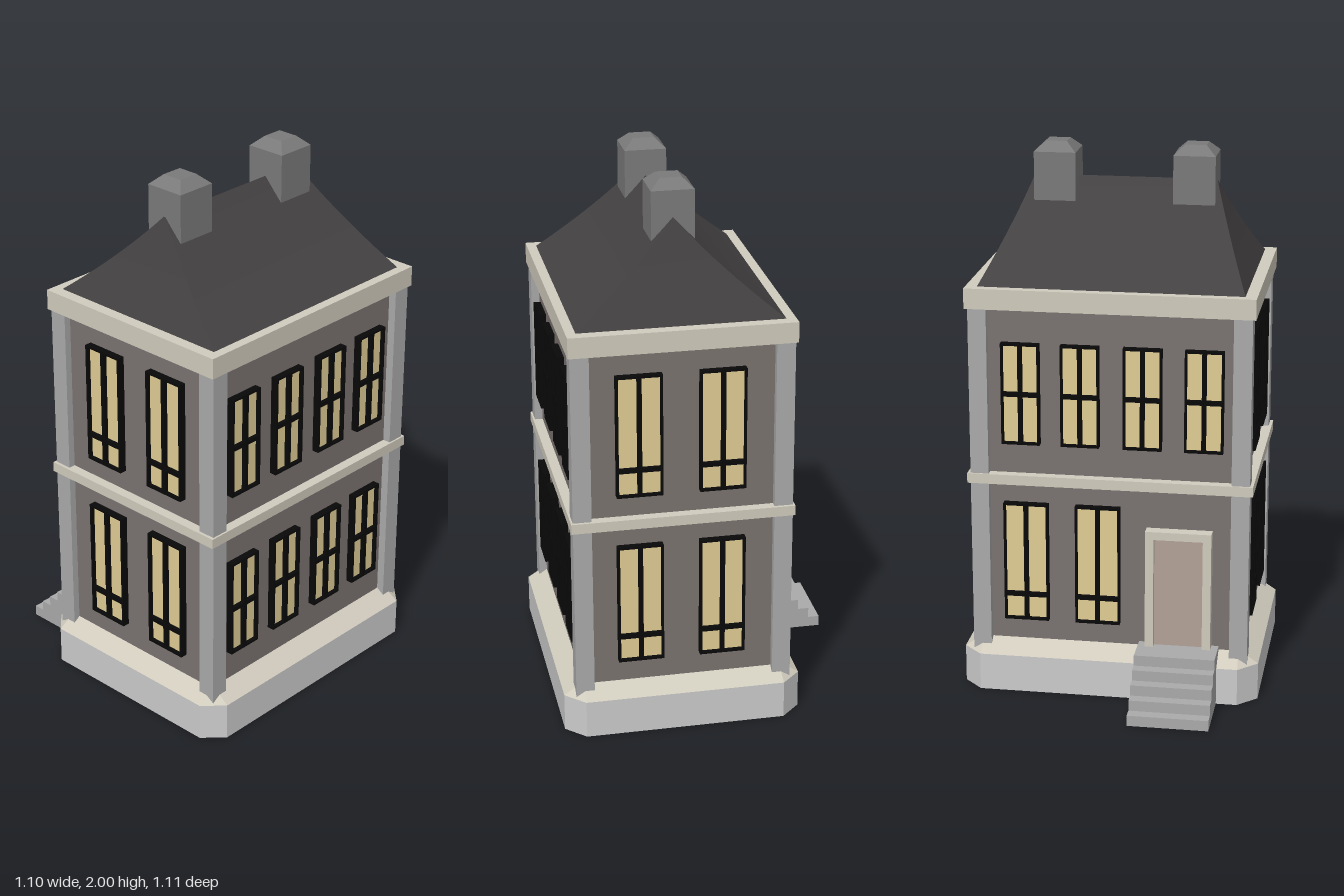
import * as THREE from 'three';
import { toCreasedNormals } from 'three/addons/utils/BufferGeometryUtils.js';

const mat = (color) => new THREE.MeshStandardMaterial({ color });
const M = {
  plinth: mat(0xcccccc), stone: mat(0xd0cbbd), pillar: mat(0xaaaaaa), wall: mat(0x7a7370),
  roof: mat(0x444142), chimney: mat(0x7a7a7a), glass: mat(0xe0cc94), frame: mat(0x080808), door: mat(0xb3a296),
};

function add(parent, name, geometry, material, x = 0, y = 0, z = 0) {
  const mesh = new THREE.Mesh(geometry, material);
  mesh.name = name;
  mesh.position.set(x, y, z);
  parent.add(mesh);
  return mesh;
}

// Box given by its width, bottom, top and depth
function slab(parent, name, material, w, y0, y1, d, x = 0, z = 0) {
  return add(parent, name, new THREE.BoxGeometry(w, y1 - y0, d), material, x, (y0 + y1) / 2, z);
}

// Ring of a rectangle with corners cut by c, ordered for outward faces
function ring(y, hx, hz, c = 0) {
  return [[hx - c, hz], [hx, hz - c], [hx, c - hz], [hx - c, -hz], [c - hx, -hz], [-hx, c - hz], [-hx, hz - c], [c - hx, hz]]
    .map(([x, z]) => new THREE.Vector3(x, y, z));
}

// Skin over rings listed from bottom to top, with flat caps
function loft(rings, bottom = true, top = true) {
  const pos = [];
  const tri = (a, b, c) => {
    const area = b.clone().sub(a).cross(c.clone().sub(a)).length();
    if (area > 1e-8) for (const p of [a, b, c]) pos.push(p.x, p.y, p.z);
  };
  const n = rings[0].length;
  for (let i = 0; i + 1 < rings.length; i++) {
    for (let j = 0; j < n; j++) {
      const k = (j + 1) % n;
      tri(rings[i][j], rings[i][k], rings[i + 1][k]);
      tri(rings[i][j], rings[i + 1][k], rings[i + 1][j]);
    }
  }
  const first = rings[0], last = rings[rings.length - 1];
  for (let j = 1; j + 1 < n; j++) {
    if (bottom) tri(first[0], first[j + 1], first[j]);
    if (top) tri(last[0], last[j], last[j + 1]);
  }
  const g = new THREE.BufferGeometry();
  g.setAttribute('position', new THREE.Float32BufferAttribute(pos, 3));
  g.computeVertexNormals();
  return toCreasedNormals(g, 0.3);
}

function rectPath(Type, x0, y0, x1, y1) {
  return new Type([[x0, y0], [x1, y0], [x1, y1], [x0, y1]].map((p) => new THREE.Vector2(...p)));
}

// Four-pane window facing +z; bar is the height of the crossbar
function makeWindow(w, y0, y1, bar) {
  const g = new THREE.Group();
  g.name = 'window';
  const e = 0.008, b = 0.008, h = w / 2;
  const shape = rectPath(THREE.Shape, -h, y0, h, y1);
  for (const [x0, x1] of [[-h + e, -b], [b, h - e]]) {
    for (const [a, c] of [[y0 + e, bar - b], [bar + b, y1 - e]]) {
      shape.holes.push(rectPath(THREE.Path, x0, a, x1, c));
    }
  }
  add(g, 'windowFrame', new THREE.ExtrudeGeometry(shape, { depth: 0.035, bevelEnabled: false }), M.frame, 0, 0, -0.008);
  slab(g, 'windowGlass', M.glass, w - e, y0 + e / 2, y1 - e / 2, 0.016, 0, 0.004);
  return g;
}

const WX = 0.485, WZ = 0.365; // half width and half depth of the walls

export function createModel() {
  const model = new THREE.Group();
  model.name = 'townHouse';
  const house = new THREE.Group();
  house.name = 'house';
  house.position.z = 0.115;
  model.add(house);

  // Base with cut corners and a sloping top
  const rim = ring(0.14, 0.55, 0.435, 0.07);
  add(house, 'plinth', loft([ring(0, 0.55, 0.435, 0.07), rim], true, false), M.plinth);
  add(house, 'plinthSlope', loft([rim, ring(0.19, 0.475, 0.36)], false, true), M.stone);

  // Walls, corner pillars and stone bands
  slab(house, 'walls', M.wall, WX * 2, 0.15, 1.5, WZ * 2);
  for (const sx of [-1, 1]) for (const sz of [-1, 1]) {
    slab(house, 'cornerPillar', M.pillar, 0.067, 0.13, 1.46, 0.067, sx * 0.4775, sz * 0.3615);
  }
  slab(house, 'middleBand', M.stone, 1.045, 0.8, 0.837, 0.804);
  slab(house, 'cornice', M.stone, 1.045, 1.455, 1.53, 0.804);

  // Hipped roof with a slight inward sweep
  const levels = [];
  for (let i = 0; i <= 10; i++) {
    const t = i / 10, f = t + 0.18 * t * (1 - t);
    levels.push(ring(1.53 + 0.34 * t, 0.48 - 0.145 * f, 0.367 * (1 - f)));
  }
  add(house, 'roof', loft(levels, true, false), M.roof);

  // Chimneys with tapered tops
  for (const x of [-0.26, 0.249]) {
    const s = 0.0765;
    add(house, 'chimney', loft([ring(1.6, s, s), ring(1.965, s, s), ring(2, 0.039, 0.039)]), M.chimney, x);
  }

  // Windows, placed on the wall that faces the given turn
  const place = (turn, offset, w, y0, y1, bar) => {
    const side = new THREE.Group();
    side.name = 'windowMount';
    side.rotation.y = turn * Math.PI / 2;
    const win = makeWindow(w, y0, y1, bar);
    win.position.set(offset, 0, turn % 2 ? WX : WZ);
    side.add(win);
    house.add(side);
  };
  for (const x of [-0.341, -0.119, 0.108, 0.325]) {
    place(0, x, 0.14, 0.305, 0.68, 0.49);
    place(0, x, 0.14, 0.952, 1.33, 1.14);
    place(2, -x, 0.14, 0.952, 1.33, 1.14);
  }
  for (const z of [0.155, -0.142]) {
    for (const turn of [1, 3]) {
      place(turn, turn === 1 ? -z : z, 0.165, 0.27, 0.725, 0.37);
      place(turn, turn === 1 ? -z : z, 0.165, 0.917, 1.37, 1.018);
    }
  }
  for (const x of [0.31, 0.045]) place(2, -x, 0.165, 0.27, 0.725, 0.37);

  // Back door with its surround
  const dx = -0.255;
  const surround = rectPath(THREE.Shape, -0.121, 0.19, 0.121, 0.65);
  surround.holes.push(rectPath(THREE.Path, -0.09, 0.195, 0.09, 0.62));
  add(model, 'doorFrame', new THREE.ExtrudeGeometry(surround, { depth: 0.06, bevelEnabled: false }), M.stone, dx, 0, -0.295);
  slab(model, 'door', M.door, 0.19, 0.19, 0.63, 0.04, dx, -0.25);

  // Steps up to the door
  const profile = new THREE.Shape();
  profile.moveTo(0.22, 0);
  profile.lineTo(0.22, 0.2);
  for (let i = 0; i < 5; i++) {
    const out = 0.383 + 0.043 * i;
    profile.lineTo(out, 0.2 - 0.04 * i);
    profile.lineTo(out, 0.16 - 0.04 * i);
  }
  const steps = new THREE.ExtrudeGeometry(profile, { depth: 0.296, bevelEnabled: false });
  steps.translate(0, 0, -0.148);
  add(model, 'steps', steps, M.pillar, dx).rotation.y = Math.PI / 2;

  return model;
}
